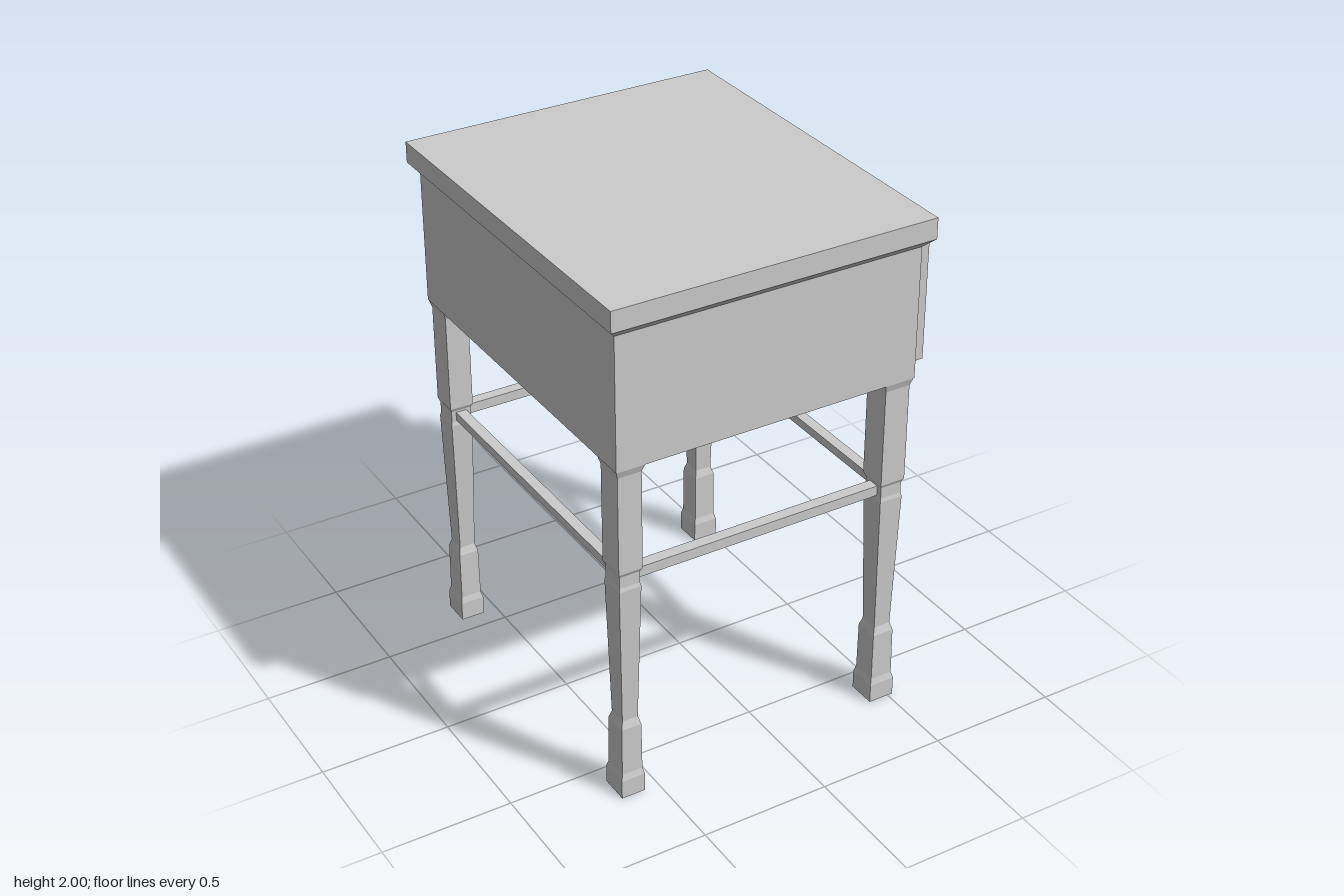
import * as THREE from 'three';

const flat = new THREE.MeshStandardMaterial({ color: 0xcccccc, flatShading: true });
const smooth = new THREE.MeshStandardMaterial({ color: 0xcccccc });

// Four-sided loft: profile rows are [halfWidthX, halfWidthZ, y], bottom to top, capped.
function squareLoft(rows) {
  const profile = rows.map((r) => new THREE.Vector2(Math.SQRT2, r[2]));
  profile.unshift(new THREE.Vector2(0, rows[0][2]));
  profile.push(new THREE.Vector2(0, rows[rows.length - 1][2]));
  const geometry = new THREE.LatheGeometry(profile, 4, Math.PI / 4);
  const p = geometry.attributes.position;
  for (let i = 0; i < p.count; i++) {
    const k = i % profile.length;
    const row = rows[Math.min(Math.max(k - 1, 0), rows.length - 1)];
    p.setXYZ(i, p.getX(i) * row[0], p.getY(i), p.getZ(i) * row[1]);
  }
  return geometry;
}

export function createModel() {
  const table = new THREE.Group();
  table.name = 'sideTable';

  function add(name, geometry, x, y, z, material = flat) {
    const mesh = new THREE.Mesh(geometry, material);
    mesh.name = name;
    mesh.position.set(x, y, z);
    table.add(mesh);
    return mesh;
  }

  // Case and table top with chamfered underside
  const caseX = -0.064;
  add('case', new THREE.BoxGeometry(1.19, 0.52, 1.386), caseX, 1.635, 0);
  add('tableTop', squareLoft([
    [0.595, 0.693, 1.885], [0.627, 0.73, 1.92], [0.627, 0.73, 2],
  ]), caseX, 0, 0);

  // Drawer front on the +x side: backing panel, chamfer and face
  const drawer = squareLoft([
    [0.215, 0.61, 0], [0.215, 0.61, 0.022], [0.232, 0.628, 0.034], [0.232, 0.628, 0.083],
  ]);
  drawer.rotateZ(-Math.PI / 2);
  add('drawerFront', drawer, 0.528, 1.63, 0);

  // Oval drawer knob
  const knobProfile = [
    [0.037, 0], [0.037, 0.036], [0.05, 0.036], [0.061, 0.041], [0.067, 0.049],
    [0.067, 0.057], [0.063, 0.067], [0.054, 0.073], [0, 0.075],
  ].map(([r, y]) => new THREE.Vector2(r, y));
  const knob = new THREE.LatheGeometry(knobProfile, 32);
  knob.rotateZ(-Math.PI / 2);
  knob.scale(1, 0.85, 1);
  add('drawerKnob', knob, 0.61, 1.683, 0, smooth);

  // Shaped square legs: [width factor, height]
  const legProfile = [
    [1, 0], [1, 0.075], [0.87, 0.1], [0.84, 0.295], [0.66, 0.325],
    [0.91, 0.885], [0.84, 0.9], [0.84, 0.945], [0.98, 0.96],
    [0.98, 1.345], [1.16, 1.376],
  ];
  const legXs = [{ name: 'right', x: -0.603, half: 0.047 }, { name: 'left', x: 0.47, half: 0.051 }];
  const legZs = [{ name: 'back', z: -0.627, half: 0.055 }, { name: 'front', z: 0.627, half: 0.056 }];
  for (const a of legXs) {
    for (const b of legZs) {
      const rows = legProfile.map(([f, y]) => [f * a.half, f * b.half, y]);
      add(`${b.name}_${a.name}_leg`, squareLoft(rows), a.x, 0, b.z);
    }
  }

  // Thin stretchers joining all four legs
  for (const b of legZs) {
    add(`${b.name}Stretcher`, new THREE.BoxGeometry(1.073, 0.04, 0.045), -0.066, 0.921, b.z);
  }
  for (const a of legXs) {
    add(`${a.name}Stretcher`, new THREE.BoxGeometry(0.042, 0.034, 1.254), a.x, 0.921, 0);
  }

  return table;
}
